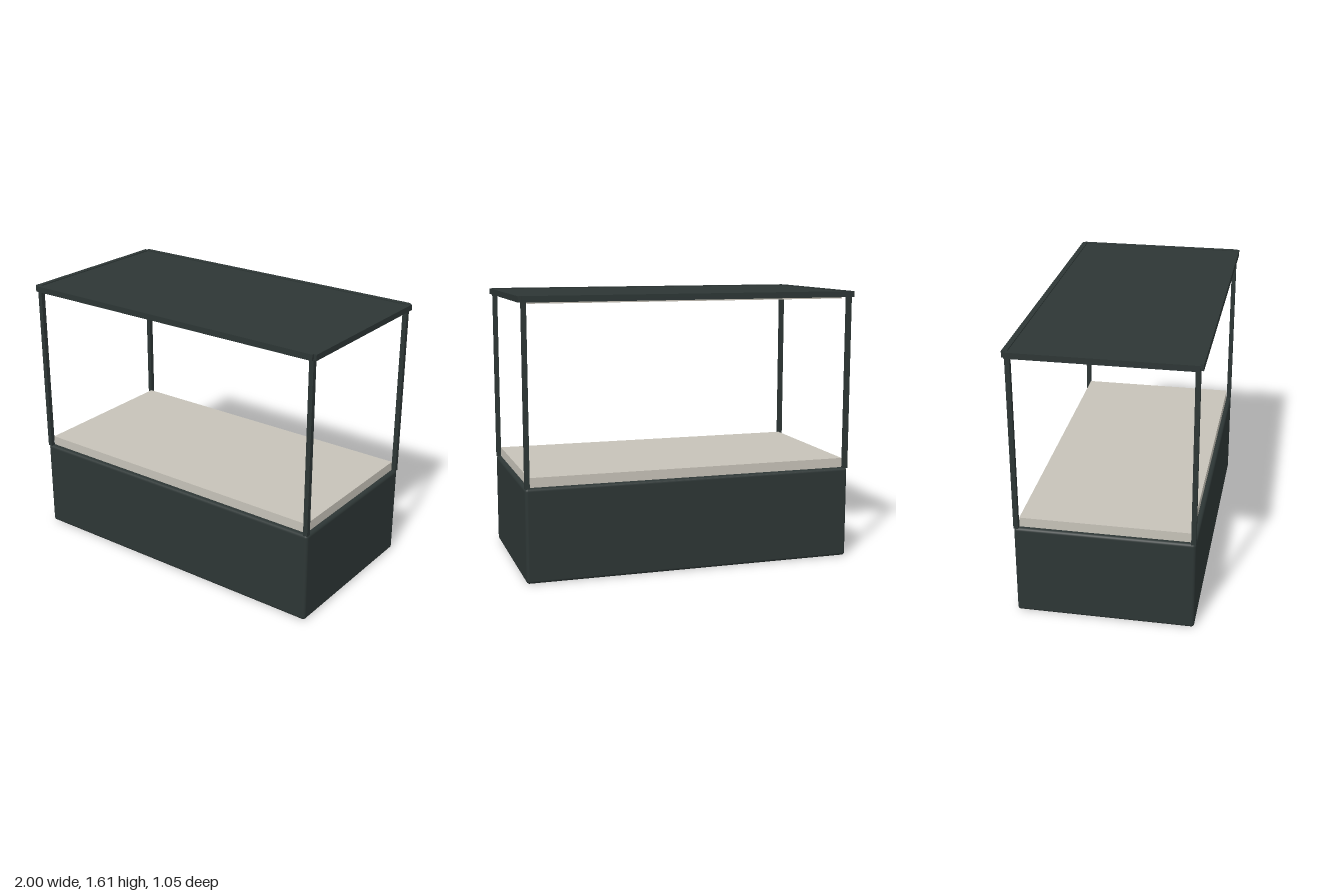
import * as THREE from 'three';
import { RoundedBoxGeometry } from 'three/addons/geometries/RoundedBoxGeometry.js';

export function createModel() {
  const model = new THREE.Group();
  model.name = 'canopyBed';
  const darkFrame = new THREE.MeshStandardMaterial({ color: 0x2d3635 });
  darkFrame.name = 'dark green grey';
  const linen = new THREE.MeshStandardMaterial({ color: 0xc6c2b8 });
  linen.name = 'warm linen';

  const add = (name, geometry, material, x, y, z) => {
    const mesh = new THREE.Mesh(geometry, material);
    mesh.name = name;
    mesh.position.set(x, y, z);
    model.add(mesh);
  };
  // Box given by its width, depth and lower and upper heights
  const slab = (name, material, w, d, y0, y1, x = 0, z = 0) =>
    add(name, new THREE.BoxGeometry(w, y1 - y0, d), material, x, (y0 + y1) / 2, z);

  // Solid base with softly rounded edges, and the pad on top
  add('base', new RoundedBoxGeometry(1.966, 0.547, 1.024, 4, 0.018), darkFrame, 0, 0.2735, 0);
  slab('pad', linen, 1.914, 0.966, 0.545, 0.603);

  // Corner posts
  for (const sx of [-1, 1]) {
    for (const sz of [-1, 1]) {
      slab('post', darkFrame, 0.027, 0.027, 0.545, 1.578, sx * 0.9695, sz * 0.4985);
    }
  }

  // Roof rails, leaving a small notch at each corner
  for (const s of [-1, 1]) {
    slab('longRail', darkFrame, 1.966, 0.03, 1.575, 1.61, 0, s * 0.512);
    slab('sideRail', darkFrame, 0.03, 1.024, 1.575, 1.609, s * 0.985, 0);
  }

  // Roof panel set between the rails, with a pale ceiling below
  slab('roofPanel', darkFrame, 1.95, 1.0, 1.585, 1.604);
  slab('ceiling', linen, 1.88, 0.94, 1.565, 1.586);
  return model;
}
